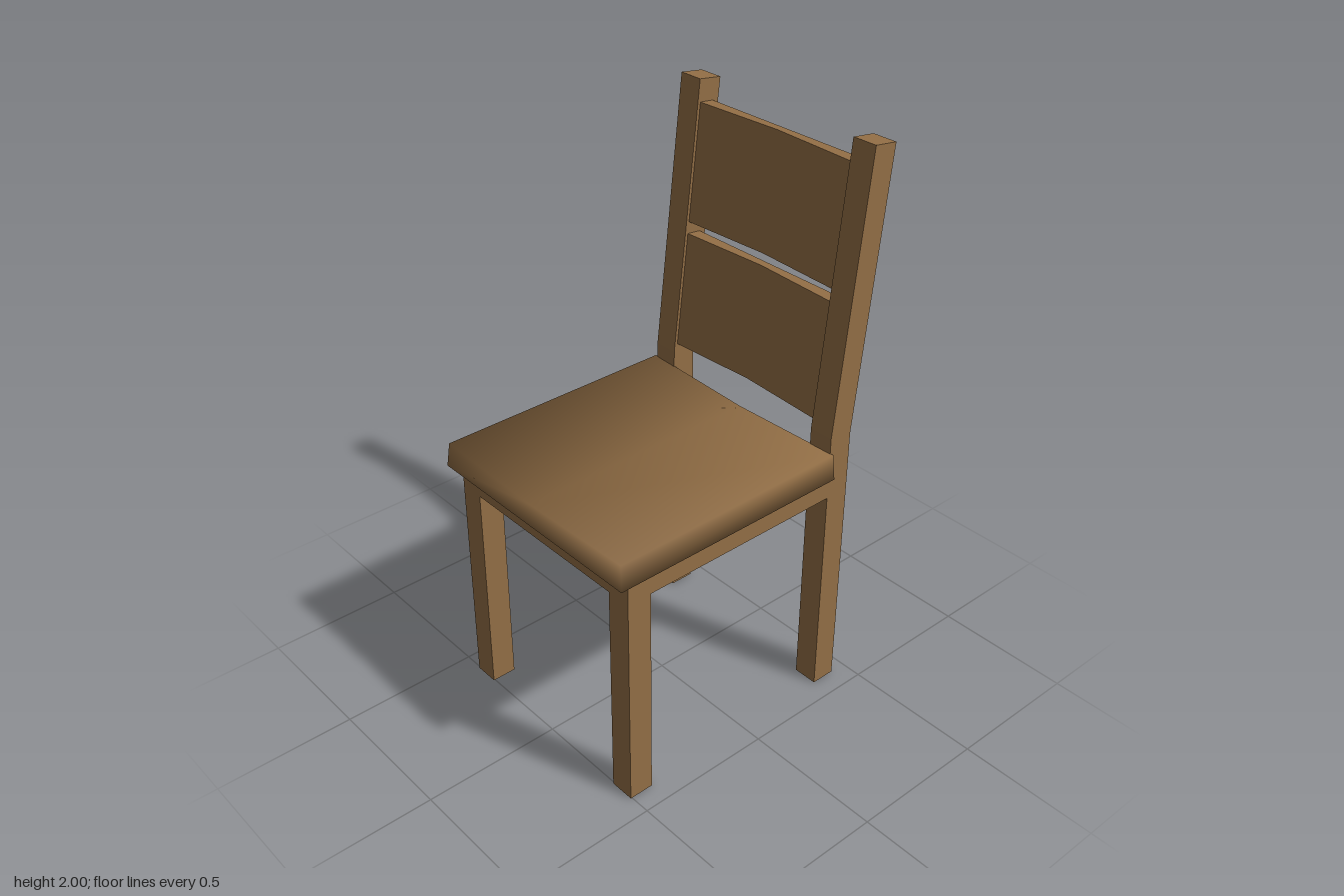
import * as THREE from 'three';

const wood = new THREE.MeshStandardMaterial({ color: 0x936f46 });
wood.name = 'brown wood';

function add(parent, name, geometry, x = 0, y = 0, z = 0) {
  const mesh = new THREE.Mesh(geometry, wood);
  mesh.name = name;
  mesh.position.set(x, y, z);
  parent.add(mesh);
  return mesh;
}

const toShape = (points) => new THREE.Shape(points.map(([a, b]) => new THREE.Vector2(a, b)));

// Cushion-like seat: box with flared lower edge, sagging centre line and softened normals
function seatGeometry() {
  const geo = new THREE.BoxGeometry(2, 2, 2, 2, 1, 1);
  const pos = geo.attributes.position;
  const normal = new THREE.Vector3();
  for (let i = 0; i < pos.count; i++) {
    const sx = Math.round(pos.getX(i));
    const sy = Math.round(pos.getY(i));
    const sz = Math.round(pos.getZ(i));
    const top = sy > 0;
    pos.setXYZ(
      i,
      sx * (top ? 0.437 : 0.448),
      top ? (sx === 0 ? 0.96 : 0.974) : 0.885,
      sz > 0 ? (top ? 0.541 : 0.548) : -0.353
    );
    normal.set(sx, sy, sz).normalize();
    geo.attributes.normal.setXYZ(i, normal.x, normal.y, normal.z);
  }
  return geo;
}

export function createModel() {
  const chair = new THREE.Group();
  chair.name = 'chair';

  const T = 0.09; // timber thickness
  const legX = 0.38;
  const frontZ = 0.46;
  const backZ = -0.395;
  const railY = 0.8425;
  const railH = 0.085;

  // Rear posts: straight leg below, leaning back above the seat
  const postGeo = new THREE.ExtrudeGeometry(
    toShape([[-0.35, 0], [-0.35, 1.03], [-0.456, 2], [-0.545, 1.988], [-0.44, 1.02], [-0.44, 0]]),
    { depth: T, bevelEnabled: false }
  );
  postGeo.rotateY(-Math.PI / 2).translate(T / 2, 0, 0);

  // Legs, posts and side rails, mirrored
  for (const [side, s] of [['left', 1], ['right', -1]]) {
    add(chair, `${side} front leg`, new THREE.BoxGeometry(T, 0.885, T), s * legX, 0.4425, frontZ);
    add(chair, `${side} back post`, postGeo, s * legX);
    add(chair, `${side} side rail`, new THREE.BoxGeometry(T, railH, frontZ - backZ - T),
      s * legX, railY, (frontZ + backZ) / 2);
  }

  // Front and back rails between the legs
  const crossRail = new THREE.BoxGeometry(2 * legX - T, railH, T);
  add(chair, 'front rail', crossRail, 0, railY, frontZ);
  add(chair, 'back rail', crossRail, 0, railY, backZ);

  add(chair, 'seat', seatGeometry());

  // Leaning back slats: flat behind, hollowed to the centre in front
  const backrest = new THREE.Group();
  backrest.name = 'backrest';
  backrest.position.set(0, 1.03, -0.35);
  backrest.rotation.x = -Math.atan(0.109);
  chair.add(backrest);

  const w = legX - T / 2;
  const slatGeo = new THREE.ExtrudeGeometry(
    toShape([[-w, 0.011], [0, 0.031], [w, 0.011], [w, 0.066], [-w, 0.066]]),
    { depth: 0.413, bevelEnabled: false }
  );
  slatGeo.rotateX(-Math.PI / 2); // plan shape becomes depth, extrusion becomes height
  add(backrest, 'lower slat', slatGeo, 0, 0.03, 0);
  add(backrest, 'upper slat', slatGeo, 0, 0.485, 0);

  return chair;
}
